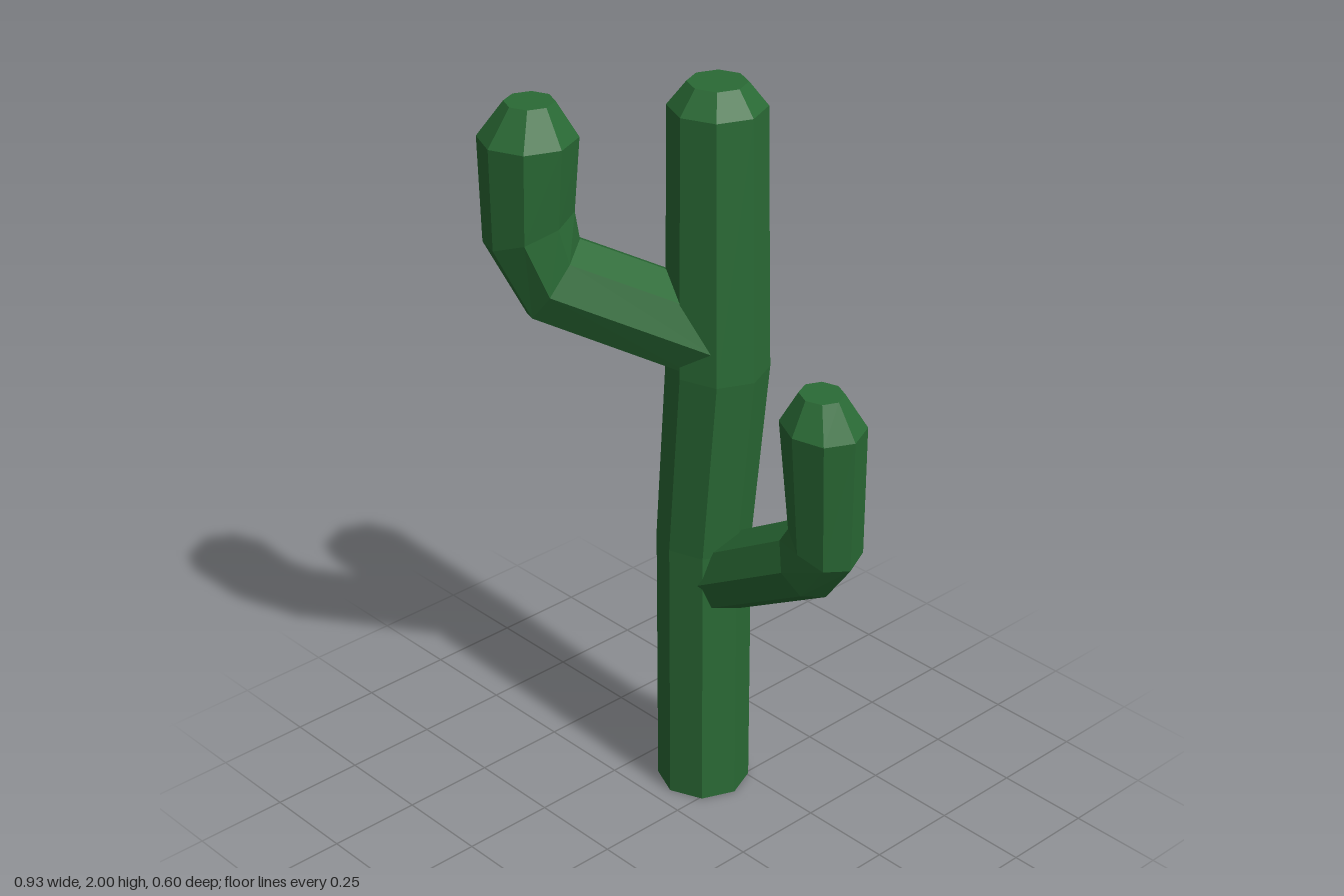
import * as THREE from 'three';

const SIDES = 8;
const material = new THREE.MeshStandardMaterial({ color: 0x2a6a35, flatShading: true });

// Lofts octagonal rings into a closed limb.
// Each ring is [x, y, z, radius, elevation of its axis in degrees]; heading is the limb's horizontal direction.
function limb(name, heading, rings) {
  const h = new THREE.Vector3(Math.cos(heading), 0, Math.sin(heading));
  const side = new THREE.Vector3(-h.z, 0, h.x);
  const pos = [];
  const index = [];
  for (const [x, y, z, r, elevation] of rings) {
    const e = THREE.MathUtils.degToRad(elevation);
    const up = h.clone().multiplyScalar(-Math.sin(e)).setY(Math.cos(e));
    for (let i = 0; i < SIDES; i++) {
      const a = (i / SIDES) * Math.PI * 2;
      const p = new THREE.Vector3(x, y, z)
        .addScaledVector(side, r * Math.cos(a))
        .addScaledVector(up, r * Math.sin(a));
      pos.push(p.x, p.y, p.z);
    }
  }
  // Side walls
  for (let k = 0; k < rings.length - 1; k++) {
    for (let i = 0; i < SIDES; i++) {
      const a = k * SIDES + i;
      const b = k * SIDES + ((i + 1) % SIDES);
      index.push(a, a + SIDES, b, b, a + SIDES, b + SIDES);
    }
  }
  // End caps
  const last = (rings.length - 1) * SIDES;
  for (let i = 1; i < SIDES - 1; i++) {
    index.push(0, i, i + 1, last, last + i + 1, last + i);
  }
  const geometry = new THREE.BufferGeometry();
  geometry.setAttribute('position', new THREE.Float32BufferAttribute(pos, 3));
  geometry.setIndex(index);
  const flat = geometry.toNonIndexed();
  flat.computeVertexNormals();
  const mesh = new THREE.Mesh(flat, material);
  mesh.name = name;
  return mesh;
}

export function createModel() {
  const group = new THREE.Group();
  group.name = 'cactus';

  // Slightly bent trunk with a bevelled top
  group.add(limb('trunk', 0, [
    [-0.08, 0, -0.17, 0.122, 90],
    [-0.08, 0.75, -0.168, 0.122, 87],
    [-0.035, 1.26, -0.17, 0.13, 87],
    [-0.045, 1.94, -0.172, 0.122, 90],
    [-0.045, 2, -0.172, 0.074, 90],
  ]));

  // Lower arm, reaching to the model's left
  group.add(limb('leftArm', 0, [
    [-0.05, 0.64, -0.175, 0.1, 30],
    [0.285, 0.83, -0.188, 0.105, 31],
    [0.338, 0.905, -0.183, 0.1, 60],
    [0.36, 1.255, -0.14, 0.107, 84],
    [0.357, 1.338, -0.135, 0.056, 87],
  ]));

  // Upper arm, reaching diagonally to the model's right and front
  group.add(limb('rightArm', Math.PI * 0.75, [
    [-0.04, 1.34, -0.165, 0.122, 21],
    [-0.32, 1.49, 0.115, 0.122, 33],
    [-0.35, 1.63, 0.165, 0.12, 70],
    [-0.335, 1.87, 0.172, 0.123, 90],
    [-0.33, 1.96, 0.168, 0.062, 90],
  ]));

  return group;
}
